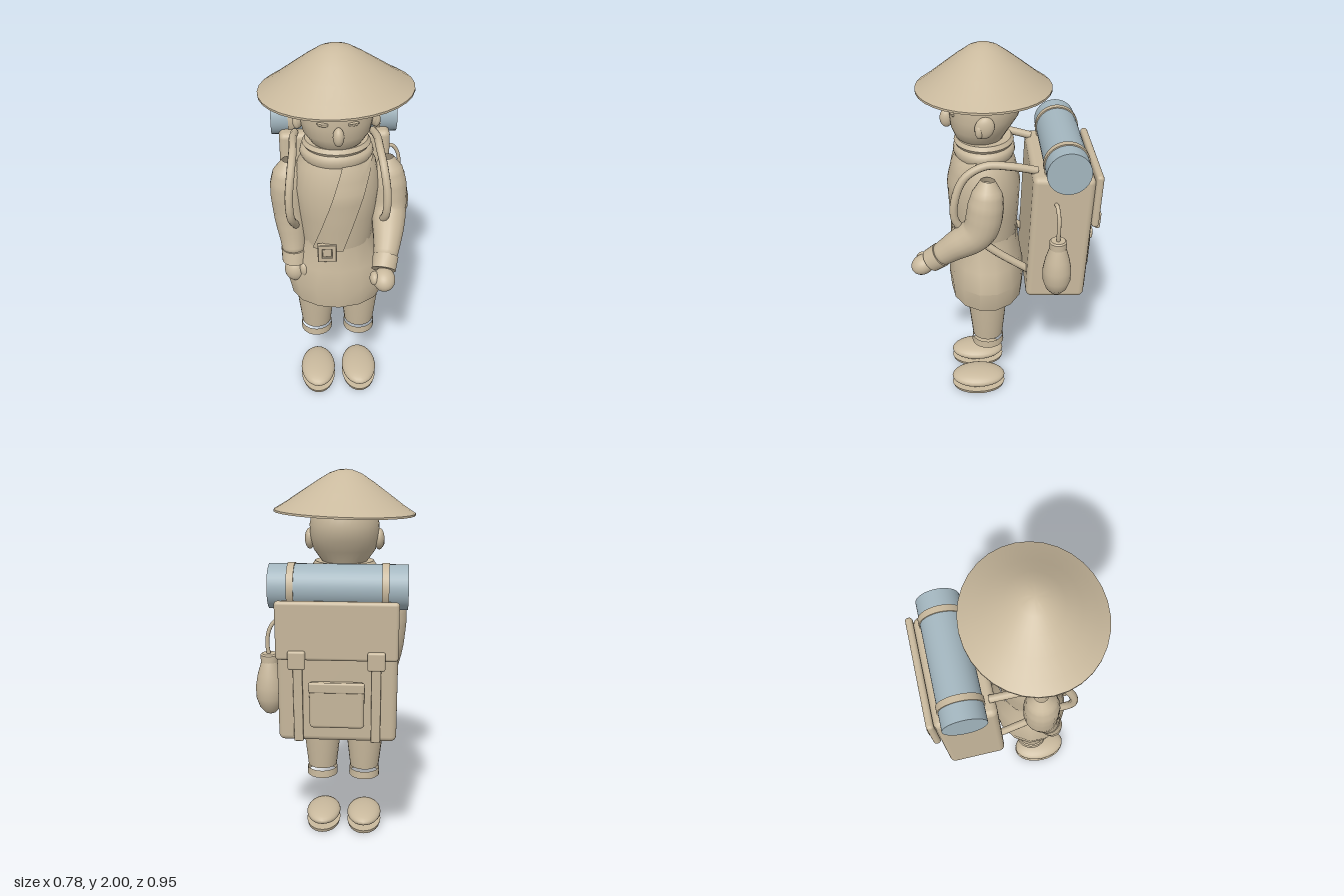
import * as THREE from 'three';
import { toCreasedNormals, mergeVertices } from 'three/addons/utils/BufferGeometryUtils.js';
import { RoundedBoxGeometry } from 'three/addons/geometries/RoundedBoxGeometry.js';

const CX = -0.035, CZ = 0.09; // body axis

const tan = new THREE.MeshStandardMaterial({ color: 0xc9b99d, side: THREE.DoubleSide });
tan.name = 'tan cloth';
const blue = new THREE.MeshStandardMaterial({ color: 0xa3b6bf });
blue.name = 'blue grey cloth';

const V = (a) => new THREE.Vector3(...a);

function add(parent, name, geometry, pos = [0, 0, 0], material = tan) {
  const mesh = new THREE.Mesh(geometry, material);
  mesh.name = name;
  mesh.position.set(...pos);
  parent.add(mesh);
  return mesh;
}

function finish(geo, crease = 0.6) {
  geo.deleteAttribute('uv');
  geo.deleteAttribute('normal');
  return toCreasedNormals(mergeVertices(geo, 1e-5), crease);
}

// Stack of elliptical rings, top to bottom: [y, radiusX, radiusZ, centreZ]
function shell(rows, seg = 28, open = false, crease = 0.6) {
  const n = rows.length - 1;
  const geo = new THREE.CylinderGeometry(1, 1, 1, seg, n, open);
  const p = geo.attributes.position;
  for (let i = 0; i < p.count; i++) {
    const [y, rx, rz, cz = 0] = rows[Math.round((0.5 - p.getY(i)) * n)];
    p.setXYZ(i, p.getX(i) * rx, y, p.getZ(i) * rz + cz);
  }
  return finish(geo, crease);
}

// Round limb along a curve with radii spread evenly over its length
function limb(points, radii, seg = 18) {
  const curve = new THREE.CatmullRomCurve3(points.map(V)), n = 36;
  const geo = new THREE.TubeGeometry(curve, n, 1, seg);
  const p = geo.attributes.position, v = new THREE.Vector3();
  for (let i = 0; i < p.count; i++) {
    const u = Math.floor(i / (seg + 1)) / n, c = curve.getPointAt(u);
    const f = u * (radii.length - 1), k = Math.min(Math.floor(f), radii.length - 2);
    const r = THREE.MathUtils.lerp(radii[k], radii[k + 1], f - k);
    v.fromBufferAttribute(p, i).sub(c).multiplyScalar(r).add(c);
    p.setXYZ(i, v.x, v.y, v.z);
  }
  return finish(geo, 0.7);
}

function cord(points, radius) {
  return new THREE.TubeGeometry(new THREE.CatmullRomCurve3(points.map(V)), 40, radius, 10);
}

function ball(parent, name, pos, size, rot = [0, 0, 0]) {
  const mesh = add(parent, name, new THREE.SphereGeometry(1, 24, 16), pos);
  mesh.scale.set(...size);
  mesh.rotation.set(...rot);
  return mesh;
}

const torsoRows = [[1.48, 0.15, 0.13], [1.42, 0.19, 0.155], [1.3, 0.215, 0.182], [1.15, 0.2, 0.175], [0.99, 0.182, 0.162]];

// Front surface of the torso at a given x and y
function chestZ(x, y) {
  let k = 0;
  while (k < torsoRows.length - 2 && y < torsoRows[k + 1][0]) k++;
  const a = torsoRows[k], b = torsoRows[k + 1], t = (a[0] - y) / (b[0] - a[0]) * -1;
  const rx = THREE.MathUtils.lerp(a[1], b[1], t), rz = THREE.MathUtils.lerp(a[2], b[2], t);
  return CZ + rz * Math.sqrt(Math.max(0.05, 1 - ((x - CX) / rx) ** 2));
}

function buildHead(root) {
  const head = new THREE.Group();
  head.name = 'head';
  head.position.set(CX, 0, 0);
  root.add(head);
  add(head, 'skull', shell([
    [1.9, 0.05, 0.05, 0.08], [1.86, 0.12, 0.12, 0.08], [1.8, 0.165, 0.165, 0.08], [1.73, 0.178, 0.178, 0.08],
    [1.66, 0.175, 0.168, 0.088], [1.6, 0.16, 0.145, 0.105], [1.55, 0.125, 0.12, 0.11], [1.51, 0.09, 0.09, 0.1],
  ], 32, false, 1));
  ball(head, 'nose', [0, 1.635, 0.27], [0.026, 0.046, 0.032]);
  for (const s of [-1, 1]) {
    ball(head, 'ear', [s * 0.178, 1.655, 0.09], [0.026, 0.055, 0.046], [-0.3, 0, 0]);
    ball(head, 'earLobe', [s * 0.185, 1.64, 0.115], [0.02, 0.035, 0.02]);
    ball(head, 'eye', [s * 0.07, 1.684, 0.24], [0.027, 0.011, 0.01], [0, s * 0.35, 0]);
    ball(head, 'eyelid', [s * 0.07, 1.69, 0.243], [0.027, 0.005, 0.01], [0, s * 0.35, 0]);
  }
  // Conical hat: inner surface down to the rim, then up the outside
  const profile = [[0, 1.97], [0.15, 1.91], [0.35, 1.785], [0.36, 1.785], [0.36, 1.795], [0.3, 1.832],
    [0.22, 1.888], [0.14, 1.943], [0.08, 1.98], [0.035, 1.996], [0, 2]];
  const hat = add(head, 'hat', toCreasedNormals(new THREE.LatheGeometry(
    profile.map(([r, y]) => new THREE.Vector2(r, y - 1.79)), 32), 0.6), [0, 1.79, 0.087]);
  hat.scale.z = 0.905;
  hat.rotation.z = 0.03;
  const band = add(hat, 'hatBand', new THREE.TorusGeometry(0.25, 0.012, 8, 32), [0, 0.055, 0]);
  band.rotation.x = Math.PI / 2;
}

function buildBody(root) {
  add(root, 'torso', shell(torsoRows), [CX, 0, CZ]);
  add(root, 'tunicSkirt', shell([[1.02, 0.187, 0.166], [0.98, 0.19, 0.166], [0.86, 0.238, 0.186],
    [0.75, 0.268, 0.203], [0.63, 0.243, 0.193]], 14, true), [CX, 0, CZ - 0.005]);
  add(root, 'collar', shell([[1.54, 0.13, 0.11], [1.545, 0.152, 0.135], [1.525, 0.165, 0.148], [1.51, 0.155, 0.14],
    [1.5, 0.172, 0.15], [1.475, 0.178, 0.154], [1.45, 0.165, 0.145]], 32, false, 1), [CX, 0, CZ]);

  // Diagonal sash laid on the chest
  const sash = new THREE.PlaneGeometry(1, 1, 6, 16), p = sash.attributes.position;
  for (let i = 0; i < p.count; i++) {
    const t = p.getY(i) + 0.5, x = -0.088 + t * 0.152 + p.getX(i) * 0.152, y = 0.985 + t * 0.485;
    p.setXYZ(i, x, y, chestZ(x, y) + 0.009);
  }
  sash.computeVertexNormals();
  add(root, 'sash', sash);

  // Belt buckle frame with a centre plate
  const frame = new THREE.Shape();
  frame.moveTo(-0.044, -0.048).lineTo(0.044, -0.048).lineTo(0.044, 0.048).lineTo(-0.044, 0.048).closePath();
  const hole = new THREE.Path();
  hole.moveTo(-0.026, -0.028).lineTo(-0.026, 0.028).lineTo(0.026, 0.028).lineTo(0.026, -0.028).closePath();
  frame.holes.push(hole);
  const bevel = { depth: 0.02, bevelSize: 0.003, bevelThickness: 0.003, bevelSegments: 1 };
  add(root, 'buckleFrame', new THREE.ExtrudeGeometry(frame, bevel), [-0.093, 0.982, 0.248]);
  add(root, 'bucklePlate', new RoundedBoxGeometry(0.045, 0.05, 0.02, 2, 0.006), [-0.093, 0.982, 0.255]);
}

function buildArms(root) {
  const radii = [0.035, 0.075, 0.088, 0.09, 0.088, 0.085, 0.078, 0.068, 0.06, 0.002];
  add(root, 'rightSleeve', limb([[-0.265, 1.42, 0.08], [-0.275, 1.3, 0.085], [-0.268, 1.12, 0.09],
    [-0.26, 0.98, 0.12], [-0.257, 0.865, 0.155]], radii));
  add(root, 'rightCuff', shell([[0.935, 0.066, 0.066, -0.02], [0.87, 0.064, 0.064]], 20), [-0.257, 0, 0.152]);
  ball(root, 'rightHand', [-0.255, 0.815, 0.165], [0.056, 0.066, 0.052]);
  ball(root, 'rightThumb', [-0.207, 0.832, 0.195], [0.026, 0.045, 0.028], [0, 0, 0.15]);

  add(root, 'leftSleeve', limb([[0.21, 1.42, 0.08], [0.222, 1.3, 0.09], [0.225, 1.15, 0.125],
    [0.208, 1.05, 0.25], [0.18, 0.955, 0.365]], radii));
  const cuff = add(root, 'leftCuff', shell([[0.035, 0.064, 0.064], [-0.035, 0.06, 0.06]], 20), [0.186, 0.972, 0.345]);
  cuff.quaternion.setFromUnitVectors(new THREE.Vector3(0, -1, 0), new THREE.Vector3(-0.2, -0.62, 0.75).normalize());
  ball(root, 'leftHand', [0.177, 0.925, 0.415], [0.055, 0.05, 0.062], [0.5, 0, 0]);
  ball(root, 'leftThumb', [0.13, 0.935, 0.415], [0.024, 0.034, 0.036], [0.4, 0, 0]);
}

function buildLegs(root) {
  for (const x of [-0.15, 0.085]) {
    add(root, 'trouserLeg', shell([[0.72, 0.108, 0.108], [0.6, 0.103, 0.102], [0.397, 0.08, 0.082]], 20, true), [x, 0, 0.087]);
    add(root, 'legCuff', shell([[0.382, 0.083, 0.084], [0.34, 0.085, 0.087]], 20, true), [x, 0, 0.087]);
    ball(root, 'shoe', [x, 0.065, 0.145], [0.097, 0.043, 0.152]);
    add(root, 'sole', shell([[0.02, 0.097, 0.152], [0, 0.092, 0.145]], 28), [x, 0, 0.145]);
  }
}

function buildPack(root) {
  const pack = new THREE.Group();
  pack.name = 'backpack';
  pack.position.set(-0.03, 1.09, -0.27);
  pack.rotation.x = -0.04;
  root.add(pack);
  const box = (name, w, h, d, pos, r) => add(pack, name, new RoundedBoxGeometry(w, h, d, 3, r), pos);
  box('packBody', 0.57, 0.69, 0.3, [0, 0, 0], 0.03);
  box('packFlap', 0.57, 0.28, 0.036, [0, 0.22, -0.167], 0.016);
  box('packPocket', 0.26, 0.23, 0.045, [0, -0.145, -0.165], 0.018);
  box('pocketFlap', 0.265, 0.05, 0.02, [0, -0.052, -0.183], 0.008);
  for (const s of [-1, 1]) {
    box('packStrap', 0.045, 0.45, 0.022, [s * 0.185, -0.115, -0.153], 0.005);
    box('strapBuckle', 0.082, 0.09, 0.026, [s * 0.185, 0.085, -0.192], 0.01);
  }

  // Rolled mat with two bands
  const roll = add(root, 'bedroll', new THREE.CylinderGeometry(0.106, 0.106, 0.65, 36), [-0.03, 1.482, -0.295], blue);
  roll.rotation.z = Math.PI / 2;
  for (const x of [-0.25, 0.19]) {
    const band = add(root, 'bedrollBand', new THREE.CylinderGeometry(0.112, 0.112, 0.033, 36), [x, 1.482, -0.295]);
    band.rotation.z = Math.PI / 2;
  }

  // Shoulder straps over the chest and back under the arms
  for (const s of [-1, 1]) {
    const path = [[0.2, 1.44, -0.16], [0.21, 1.47, -0.03], [0.21, 1.475, 0.09], [0.222, 1.42, 0.19], [0.236, 1.3, 0.242],
      [0.232, 1.19, 0.24], [0.21, 1.09, 0.16], [0.21, 0.98, 0.03], [0.21, 0.87, -0.13]];
    add(root, 'shoulderStrap', cord(path.map(([x, y, z]) => [CX + s * x, y, z]), 0.02));
  }

  // Bottle gourd hanging at the side
  const gourd = new THREE.Group();
  gourd.name = 'gourd';
  gourd.position.set(0.315, 0, -0.253);
  root.add(gourd);
  add(gourd, 'gourdBody', shell([[1.11, 0.036, 0.036], [1.08, 0.045, 0.045], [1.03, 0.06, 0.06], [0.97, 0.071, 0.071],
    [0.91, 0.07, 0.07], [0.86, 0.053, 0.053], [0.83, 0.027, 0.027], [0.82, 0.005, 0.005]], 24, false, 1));
  add(gourd, 'gourdStopper', shell([[1.137, 0.036, 0.036], [1.13, 0.043, 0.043], [1.095, 0.043, 0.043]], 20));
  add(gourd, 'gourdCord', cord([[0, 1.12, 0], [0.008, 1.19, 0], [-0.005, 1.26, 0], [-0.035, 1.3, 0.005], [-0.07, 1.3, 0.01]], 0.01));
}

export function createModel() {
  const root = new THREE.Group();
  root.name = 'traveller';
  buildHead(root);
  buildBody(root);
  buildArms(root);
  buildLegs(root);
  buildPack(root);
  return root;
}
